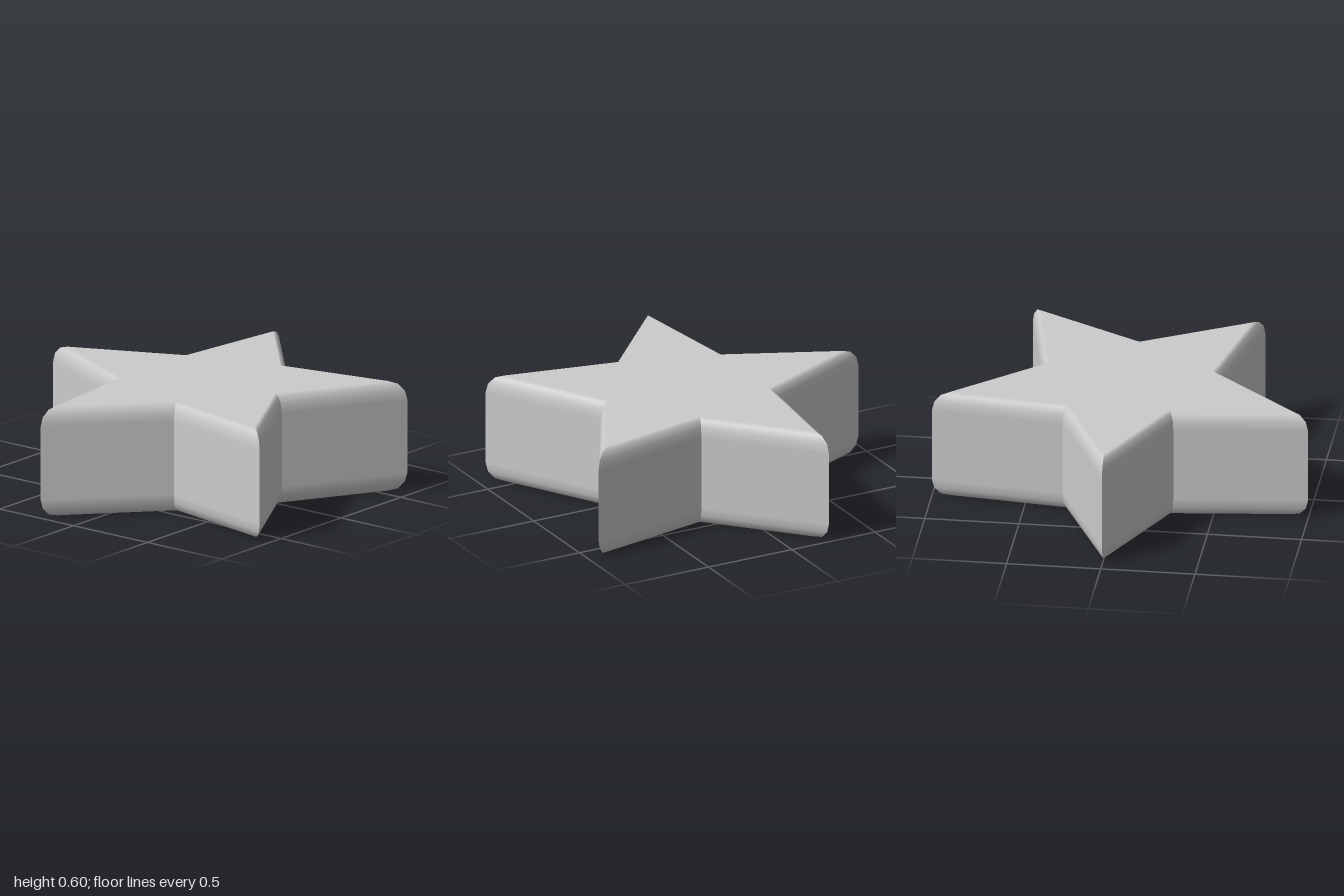
import * as THREE from 'three';

const OUTER = 1.05, INNER = 0.5, HEIGHT = 0.6, CENTRE_Z = 0.1;
const ROUND = 0.1;      // height of the rounded rim
const SHRINK = 0.095;   // how far the rim scales inwards
const STEPS = 3;        // facets per rounded rim

// Outline corner i of the star, first point towards -z
function corner(i) {
  const a = (i * Math.PI) / 5, r = i % 2 ? INNER : OUTER;
  return new THREE.Vector2(Math.sin(a) * r, -Math.cos(a) * r);
}

// Half section from bottom centre to top centre: scale, height and tilt of the normal
function section() {
  const rows = [{ s: 0, y: 0, tilt: -Math.PI / 2 }];
  for (const side of [-1, 1]) {
    for (let k = 0; k <= STEPS; k++) {
      const t = (side < 0 ? k - STEPS : k) / STEPS * Math.PI / 2;
      rows.push({
        s: 1 - SHRINK * (1 - Math.cos(t)),
        y: HEIGHT / 2 + side * (HEIGHT / 2 - ROUND) + ROUND * Math.sin(t),
        tilt: t,
      });
    }
  }
  rows.push({ s: 0, y: HEIGHT, tilt: Math.PI / 2 });
  return rows;
}

// One wedge per outline edge, smooth up the rim and sharp at the star's corners
function starGeometry() {
  const pos = [], nor = [], idx = [], rows = section();
  for (let i = 0; i < 10; i++) {
    const a = corner(i), b = corner(i + 1);
    const out = new THREE.Vector2(b.y - a.y, a.x - b.x).normalize();
    const reach = SHRINK * out.dot(a);
    const base = pos.length / 3;
    rows.forEach(({ s, y, tilt }, k) => {
      const c = Math.cos(tilt) / reach;
      const n = new THREE.Vector3(out.x * c, Math.sin(tilt) / ROUND, out.y * c).normalize();
      for (const p of [a, b]) {
        pos.push(p.x * s, y, p.y * s + CENTRE_Z);
        nor.push(n.x, n.y, n.z);
      }
      if (k === 0) return;
      const q = base + 2 * (k - 1);
      if (k > 1) idx.push(q, q + 2, q + 1);
      if (k < rows.length - 1) idx.push(q + 1, q + 2, q + 3);
    });
  }
  const g = new THREE.BufferGeometry();
  g.setAttribute('position', new THREE.Float32BufferAttribute(pos, 3));
  g.setAttribute('normal', new THREE.Float32BufferAttribute(nor, 3));
  g.setIndex(idx);
  return g;
}

export function createModel() {
  const grey = new THREE.MeshStandardMaterial({ color: 0xcccccc });
  grey.name = 'light grey';
  const star = new THREE.Mesh(starGeometry(), grey);
  star.name = 'star';
  const group = new THREE.Group();
  group.name = 'roundedStar';
  group.add(star);
  return group;
}
